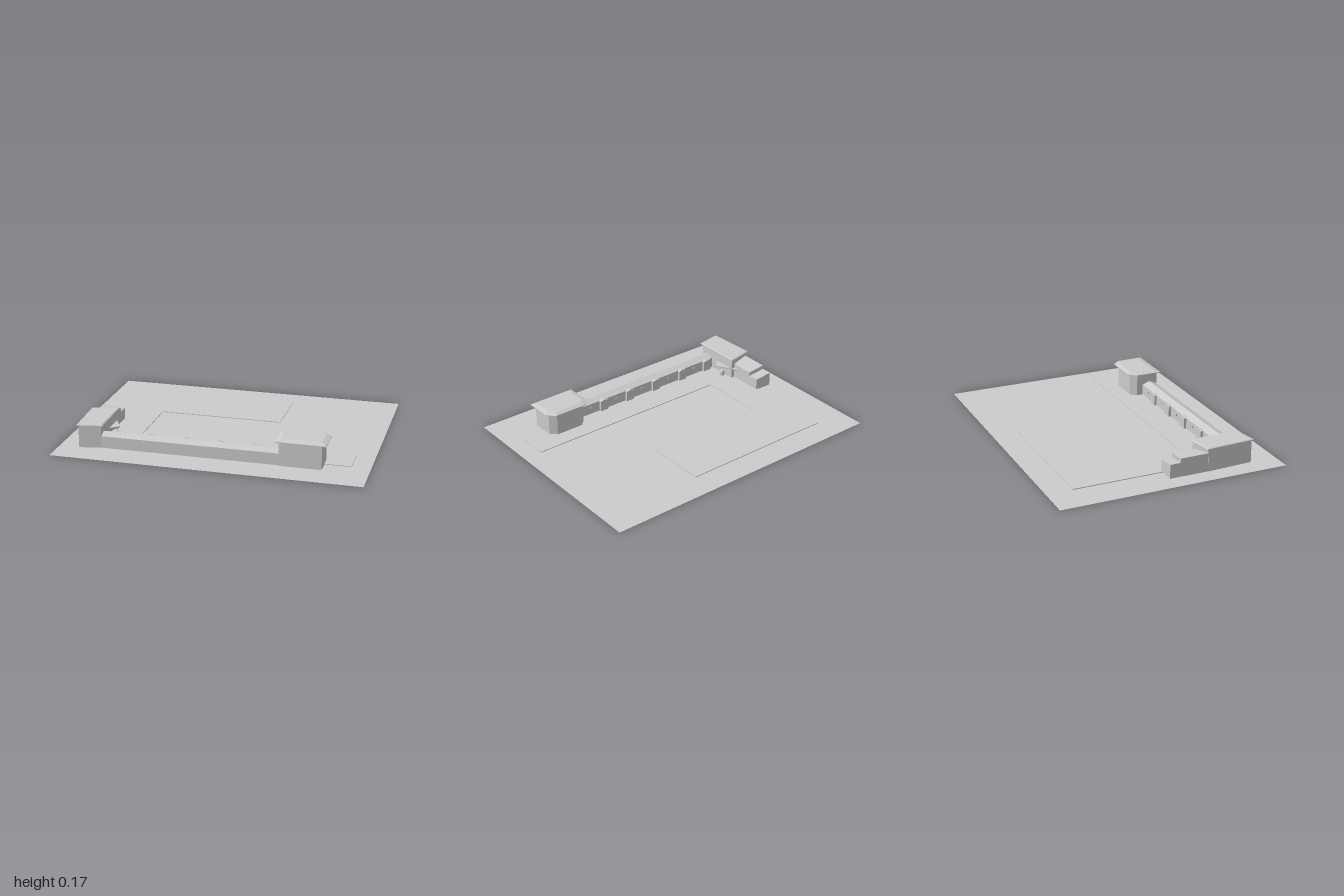
import * as THREE from 'three';
import { ConvexGeometry } from 'three/addons/geometries/ConvexGeometry.js';

const mat = new THREE.MeshStandardMaterial({ color: 0xcccccc, flatShading: true });
const smoothMat = new THREE.MeshStandardMaterial({ color: 0xcccccc });
const sheetMat = new THREE.MeshStandardMaterial({ color: 0xcccccc, side: THREE.DoubleSide });

// Lift a footprint of [x, z] corners to a height
const level = (plan, y) => plan.map(([x, z]) => new THREE.Vector3(x, y, z));

// Move footprint corners a fixed share toward the footprint's middle
function shrink(plan, sx, sz = sx) {
  const cx = plan.reduce((s, p) => s + p[0], 0) / plan.length;
  const cz = plan.reduce((s, p) => s + p[1], 0) / plan.length;
  return plan.map(([x, z]) => [cx + (x - cx) * sx, cz + (z - cz) * sz]);
}

const rect = (x0, x1, z0, z1) => [[x0, z0], [x1, z0], [x1, z1], [x0, z1]];

export function createModel() {
  const model = new THREE.Group();

  function add(name, geometry, material = mat) {
    const mesh = new THREE.Mesh(geometry, material);
    mesh.name = name;
    model.add(mesh);
    return mesh;
  }
  // Solid between horizontal outlines, given as [plan, height] pairs
  const solid = (name, ...levels) =>
    add(name, new ConvexGeometry(levels.flatMap(([plan, y]) => level(plan, y))));

  // Ground sheet
  add('ground', new THREE.PlaneGeometry(2, 1.52).rotateX(-Math.PI / 2), sheetMat);

  // Thin stepped paving slab
  const outline = [
    [-0.78, 0.47], [0.877, 0.47], [0.877, 0.26], [-0.55, 0.26],
    [-0.55, -0.18], [0.28, -0.18], [0.28, -0.585], [-0.78, -0.585],
  ];
  const paving = new THREE.Shape(outline.map(([x, z]) => new THREE.Vector2(x, -z)));
  add('paving', new THREE.ExtrudeGeometry(paving, { depth: 0.005, bevelEnabled: false })
    .rotateX(-Math.PI / 2));

  // Long front range with a gabled roof
  const [x0, x1] = [-0.73, 0.44];
  solid('longRange',
    [rect(x0, x1, 0.455, 0.555), 0],
    [rect(x0, x1, 0.455, 0.555), 0.078],
    [[[x0, 0.505], [x1, 0.505]], 0.097]);

  // Gabled bays along the courtyard side
  const bay = new THREE.Shape([
    [-0.03, 0], [0.03, 0], [0.03, 0.077], [0, 0.085], [-0.03, 0.077],
  ].map(([x, y]) => new THREE.Vector2(x, y)));
  const bays = [-0.665, -0.44, -0.205, 0.02, 0.24];
  for (const x of bays) {
    add('bay', new THREE.ExtrudeGeometry(bay, { depth: 0.035, bevelEnabled: false }))
      .position.set(x, 0, 0.438);
  }

  // Small wall fittings between the bays
  bays.forEach((x, i) => {
    const next = bays[i + 1] ?? 0.44;
    add('wallFitting', new THREE.BoxGeometry(0.012, 0.014, 0.008))
      .position.set((x + next) / 2, 0.05, 0.453);
  });

  // Corner block with chamfered back corners and a shallow hipped roof
  const chamfered = (l, r, back, front, c) =>
    [[l, front], [r, front], [r, back + c], [r - c, back], [l + c, back], [l, back + c]];
  const block = chamfered(0.435, 0.708, 0.372, 0.563, 0.04);
  const eaves = chamfered(0.412, 0.737, 0.35, 0.58, 0.048);
  solid('cornerBlock', [block, 0], [block, 0.16]);
  solid('cornerBlockRoof', [eaves, 0.158], [eaves, 0.163], [shrink(eaves, 0.8, 0.72), 0.173]);

  // Side wing, slightly skewed, with an overhanging roof
  const wing = [[-0.882, 0.272], [-0.727, 0.242], [-0.725, 0.556], [-0.867, 0.583]];
  const wingEaves = [[-0.893, 0.262], [-0.715, 0.225], [-0.71, 0.568], [-0.876, 0.597]];
  solid('sideWing', [wing, 0], [wing, 0.151]);
  solid('sideWingRoof', [wingEaves, 0.149], [wingEaves, 0.155], [shrink(wingEaves, 0.93), 0.16]);

  // Two stepped annexes with roofs sloping down toward the courtyard
  const annexes = [
    { z0: 0.085, z1: 0.29, low: 0.106, high: 0.122 },
    { z0: 0.012, z1: 0.085, low: 0.079, high: 0.093 },
  ];
  for (const { z0, z1, low, high } of annexes) {
    solid('annex',
      [rect(-0.88, -0.757, z0, z1), 0],
      [[[-0.757, z0], [-0.757, z1]], low],
      [[[-0.88, z0], [-0.88, z1]], high]);
  }

  // Angled entrance canopy with a round-topped pier beneath
  const canopy = [[-0.757, 0.2], [-0.67, 0.35], [-0.727, 0.4], [-0.79, 0.29]];
  solid('entranceCanopy', [canopy, 0.069], [canopy, 0.078]);
  const pier = [
    [0.018, 0], [0.018, 0.028], [0.0155, 0.037], [0.009, 0.044], [0, 0.046],
  ].map(([r, y]) => new THREE.Vector2(r, y));
  add('entrancePier', new THREE.LatheGeometry(pier, 20), smoothMat)
    .position.set(-0.708, 0, 0.325);

  return model;
}
